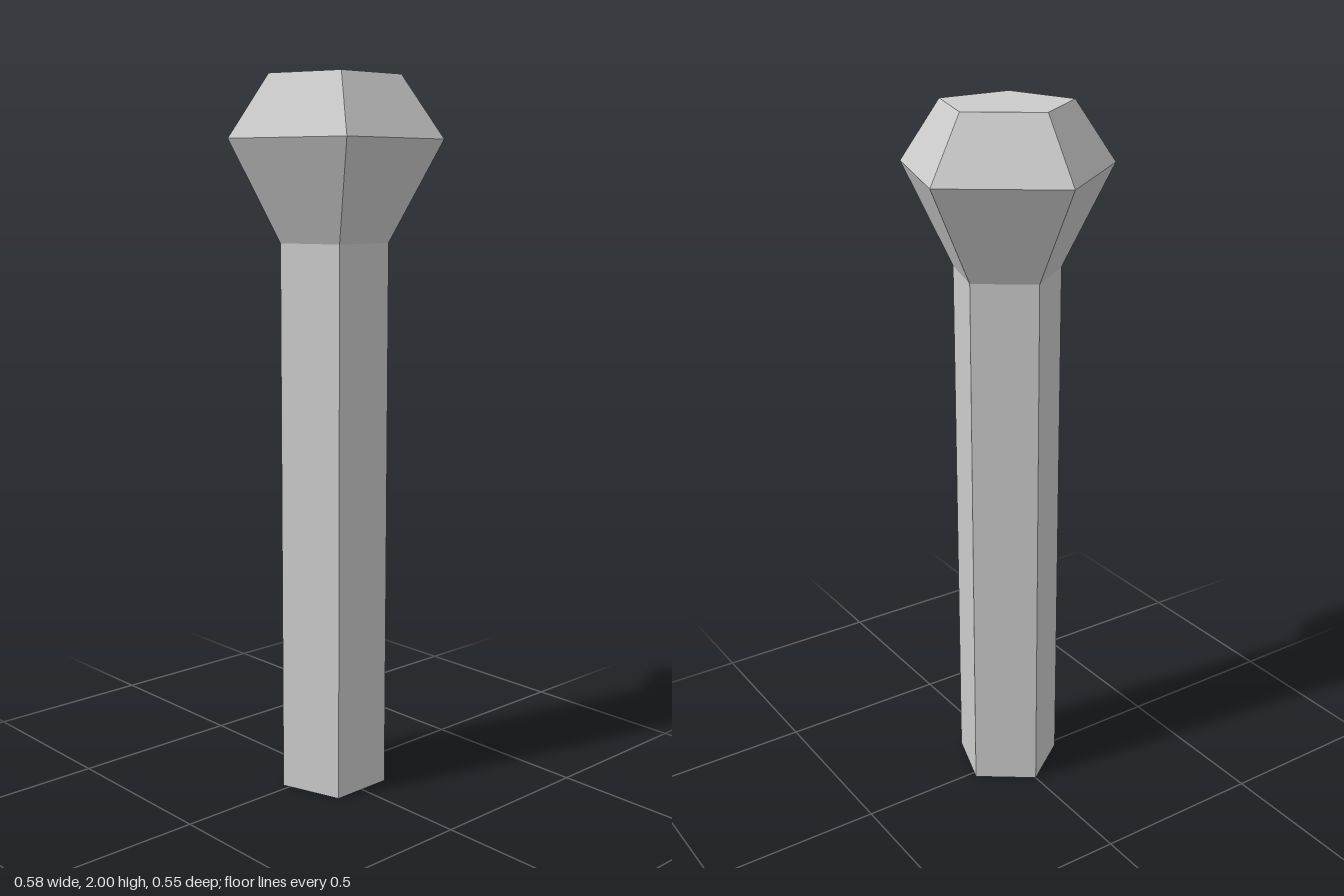
import * as THREE from 'three';

const SIDES = 5;
const CENTRE_Z = 0.028; // the pentagon's axis, so that its bounds are centred on z = 0

const material = new THREE.MeshStandardMaterial({ color: 0xcccccc, flatShading: true });

// Lofts pentagonal rings given as [radius, y], bottom to top, with one corner at the back
function pentagonLoft(name, rings) {
  const profile = rings.map(([r, y]) => new THREE.Vector2(r, y));
  const mesh = new THREE.Mesh(new THREE.LatheGeometry(profile, SIDES, Math.PI), material);
  mesh.name = name;
  return mesh;
}

// Flat pentagonal end cap, facing up or down
function pentagonCap(name, radius, y, up) {
  const geometry = new THREE.CircleGeometry(radius, SIDES, Math.PI / 2);
  geometry.rotateX(up ? -Math.PI / 2 : Math.PI / 2);
  if (!up) geometry.rotateY(Math.PI);
  geometry.translate(0, y, 0);
  const mesh = new THREE.Mesh(geometry, material);
  mesh.name = name;
  return mesh;
}

export function createModel() {
  const model = new THREE.Group();
  model.name = 'pentagonalPost';

  // Straight shaft standing on its closed base
  const shaft = new THREE.Group();
  shaft.name = 'shaft';
  shaft.add(
    pentagonLoft('shaftSides', [[0.155, 0], [0.155, 1.555]]),
    pentagonCap('shaftBase', 0.155, 0, false),
  );

  // Faceted head: flares out from the shaft, then tapers to a flat top
  const head = new THREE.Group();
  head.name = 'head';
  head.add(
    pentagonLoft('headFlare', [[0.155, 1.555], [0.303, 1.83]]),
    pentagonLoft('headBevel', [[0.303, 1.83], [0.186, 2]]),
    pentagonCap('headTop', 0.186, 2, true),
  );

  model.add(shaft, head);
  for (const part of model.children) part.position.z = CENTRE_Z;
  return model;
}
